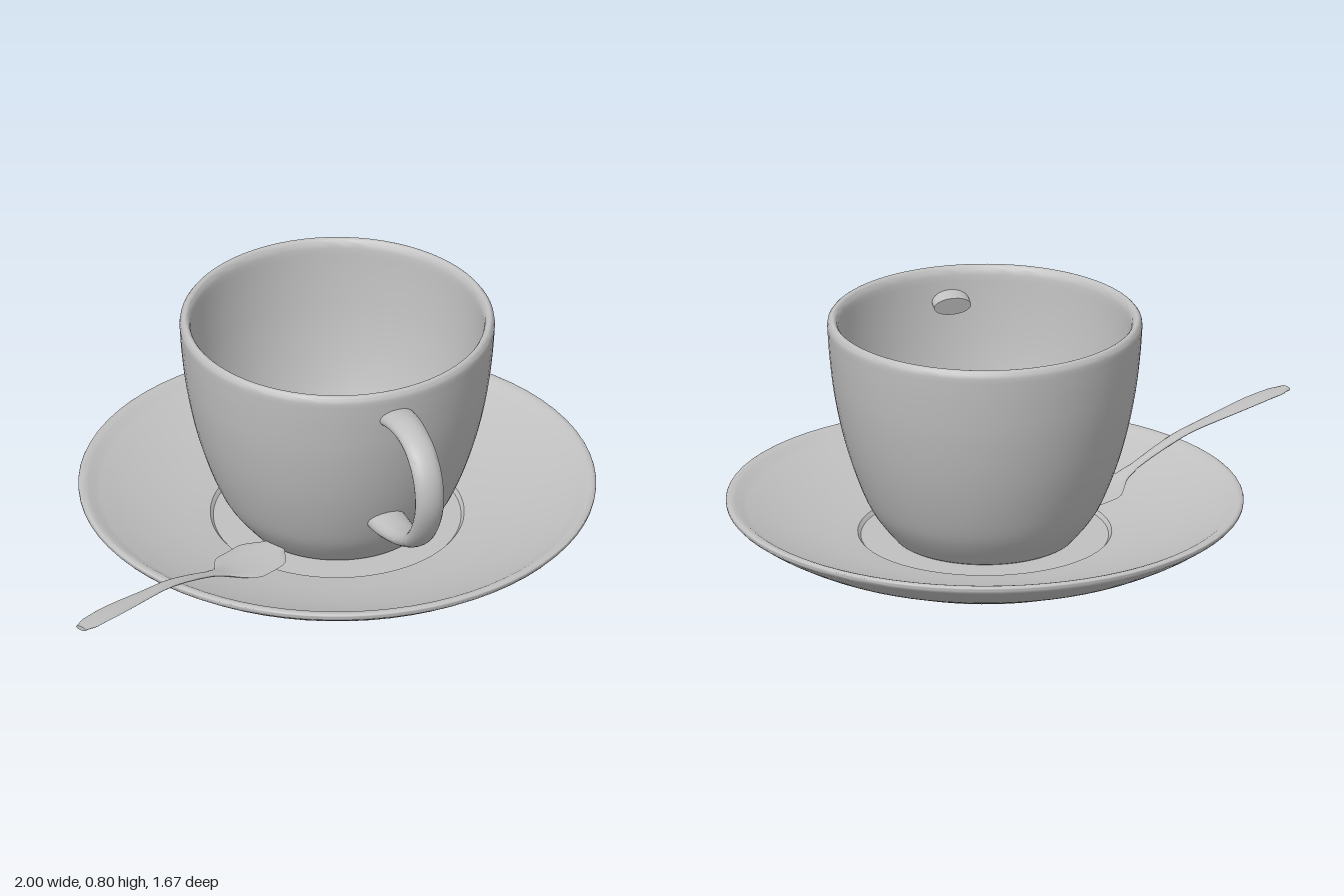
import * as THREE from 'three';
import { toCreasedNormals } from 'three/addons/utils/BufferGeometryUtils.js';

const CENTER_X = 0.163;
const vectors = (list) => list.map(([x, y]) => new THREE.Vector2(x, y));
const smooth = (list, n) => new THREE.SplineCurve(vectors(list)).getPoints(n);

// Turned body: outside profile upwards, then inside profile back to the axis
function turned(profile) {
  return toCreasedNormals(new THREE.LatheGeometry(profile, 72), 0.7);
}

// Capped sweep along a curve; size(t) gives the half width and half thickness
function sweep(curve, side, size, steps, sides) {
  const pos = [], index = [];
  const p = new THREE.Vector3(), up = new THREE.Vector3();
  for (let i = 0; i <= steps; i++) {
    const t = i / steps;
    curve.getPointAt(t, p);
    up.crossVectors(curve.getTangentAt(t), side).normalize();
    const [w, h] = size(t);
    for (let j = 0; j < sides; j++) {
      const a = (j / sides) * Math.PI * 2;
      const v = p.clone().addScaledVector(side, Math.cos(a) * w).addScaledVector(up, Math.sin(a) * h);
      pos.push(v.x, v.y, v.z);
    }
  }
  for (let i = 0; i < steps; i++) {
    for (let j = 0; j < sides; j++) {
      const a = i * sides + j, b = i * sides + (j + 1) % sides;
      index.push(a, b, a + sides, b, b + sides, a + sides);
    }
  }
  // End caps
  const last = steps * sides;
  for (let j = 1; j < sides - 1; j++) {
    index.push(0, j + 1, j, last, last + j, last + j + 1);
  }
  const g = new THREE.BufferGeometry();
  g.setAttribute('position', new THREE.Float32BufferAttribute(pos, 3));
  g.setIndex(index);
  return toCreasedNormals(g, 0.9);
}

// Eased lookup through [t, value] stops
function lookup(stops, t) {
  for (let i = 1; i < stops.length; i++) {
    const [t0, v0] = stops[i - 1], [t1, v1] = stops[i];
    if (t <= t1) return v0 + (v1 - v0) * THREE.MathUtils.smoothstep(t, t0, t1);
  }
  return stops[stops.length - 1][1];
}

export function createModel() {
  const group = new THREE.Group();
  const china = new THREE.MeshStandardMaterial({ color: 0xc0c0c0 });
  china.name = 'grey china';
  const add = (name, geometry, x = 0) => {
    const mesh = new THREE.Mesh(geometry, china);
    mesh.name = name;
    mesh.position.x = x;
    group.add(mesh);
  };

  // Saucer with a recessed foot, flared underside, rolled rim and shallow well
  add('saucer', turned([
    ...vectors([[0, 0.006], [0.46, 0.006], [0.463, 0], [0.515, 0]]),
    ...smooth([[0.53, 0.005], [0.55, 0.018], [0.66, 0.056], [0.76, 0.107], [0.825, 0.15]], 16),
    ...smooth([[0.835, 0.161], [0.835, 0.171], [0.823, 0.176], [0.805, 0.171]], 8),
    ...smooth([[0.785, 0.158], [0.68, 0.12], [0.55, 0.085], [0.41, 0.06]], 12),
    ...vectors([[0.4, 0.048], [0, 0.048]]),
  ]), CENTER_X);

  // Cup with a rounded lip and bowl-shaped inside
  add('cup', turned([
    ...vectors([[0, 0.044], [0.275, 0.044]]),
    ...smooth([[0.293, 0.054], [0.343, 0.115], [0.382, 0.18], [0.425, 0.29], [0.46, 0.41],
      [0.488, 0.55], [0.503, 0.68], [0.509, 0.77]], 28),
    ...smooth([[0.507, 0.783], [0.498, 0.794], [0.487, 0.794], [0.478, 0.783]], 8),
    ...smooth([[0.474, 0.765], [0.465, 0.65], [0.445, 0.5], [0.41, 0.35], [0.36, 0.22],
      [0.29, 0.13], [0.18, 0.1], [0, 0.095]], 28),
  ]), CENTER_X);

  // Handle: flattened loop whose upper end shows inside the cup wall
  const loop = new THREE.CatmullRomCurve3([
    [0.675, 0.435], [0.7, 0.52], [0.705, 0.61], [0.675, 0.7], [0.61, 0.757], [0.52, 0.773],
    [0.43, 0.745], [0.345, 0.68], [0.29, 0.58], [0.266, 0.48], [0.259, 0.4],
  ].map(([y, z]) => new THREE.Vector3(0, y, z)));
  add('handle', sweep(loop, new THREE.Vector3(1, 0, 0),
    (t) => [lookup([[0, 0.062], [0.25, 0.05], [0.75, 0.047], [1, 0.065]], t),
      lookup([[0, 0.033], [0.2, 0.029], [0.8, 0.029], [1, 0.036]], t)], 56, 20), CENTER_X);

  // Teaspoon resting on the rim, its bowl running under the cup
  const from = new THREE.Vector3(-0.988, 0, 0.609);
  const along = new THREE.Vector3(0.882, 0, -0.471).normalize();
  const across = new THREE.Vector3(-along.z, 0, along.x);
  const spine = new THREE.CatmullRomCurve3([
    [0, 0.23], [0.12, 0.224], [0.3, 0.205], [0.45, 0.186], [0.56, 0.157], [0.67, 0.12],
    [0.76, 0.088], [0.86, 0.075], [0.96, 0.074], [1.04, 0.082],
  ].map(([d, y]) => from.clone().addScaledVector(along, d).setY(y)));
  add('spoon', sweep(spine, across,
    (t) => [lookup([[0, 0.02], [0.05, 0.034], [0.13, 0.036], [0.4, 0.022], [0.63, 0.018],
      [0.67, 0.026], [0.79, 0.095], [0.88, 0.095], [1, 0.012]], t), 0.007], 60, 14));

  return group;
}
